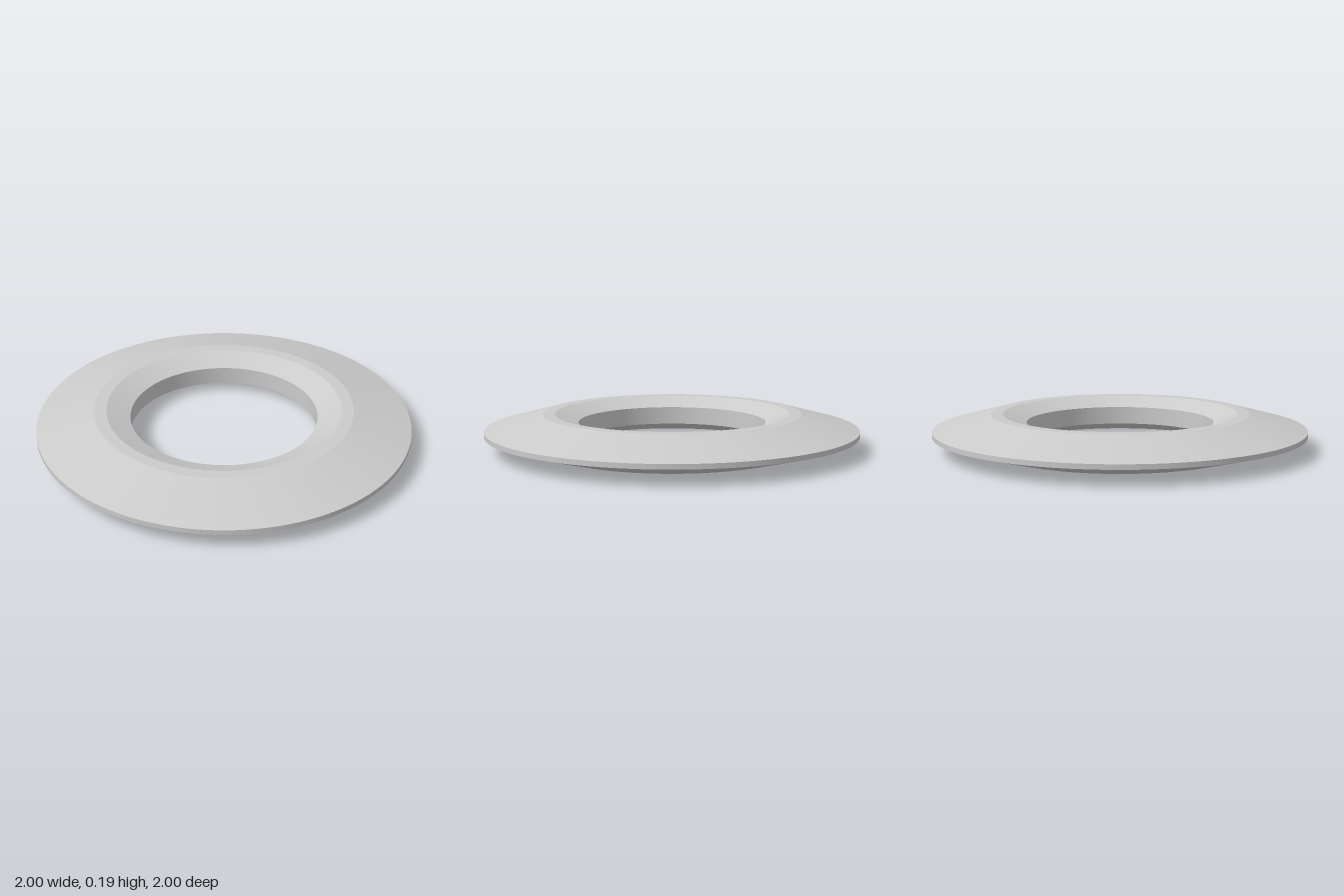
import * as THREE from 'three';
import { toCreasedNormals } from 'three/addons/utils/BufferGeometryUtils.js';

export function createModel() {
  const group = new THREE.Group();
  group.name = 'bevelledRing';

  // Upper half of the cross-section: [radius, height above the mid-plane]
  const mid = 0.097;
  const half = [
    [1, 0.013],     // thin outer rim
    [0.69, mid],    // top of the outer slope
    [0.625, mid],   // flat band
    [0.5, 0.048],   // inner bevel meets the bore
  ];
  // Mirror it downwards into one closed loop
  const profile = [
    ...half,
    ...half.map(([r, h]) => [r, -h]).reverse(),
    half[0],
  ].map(([r, h]) => new THREE.Vector2(r, mid + h));

  // Smooth around the ring, sharp between the bands
  const geometry = toCreasedNormals(new THREE.LatheGeometry(profile, 128), 0.12);
  const ring = new THREE.Mesh(geometry, new THREE.MeshStandardMaterial({ color: 0xcccccc }));
  ring.name = 'ring';
  group.add(ring);

  return group;
}
